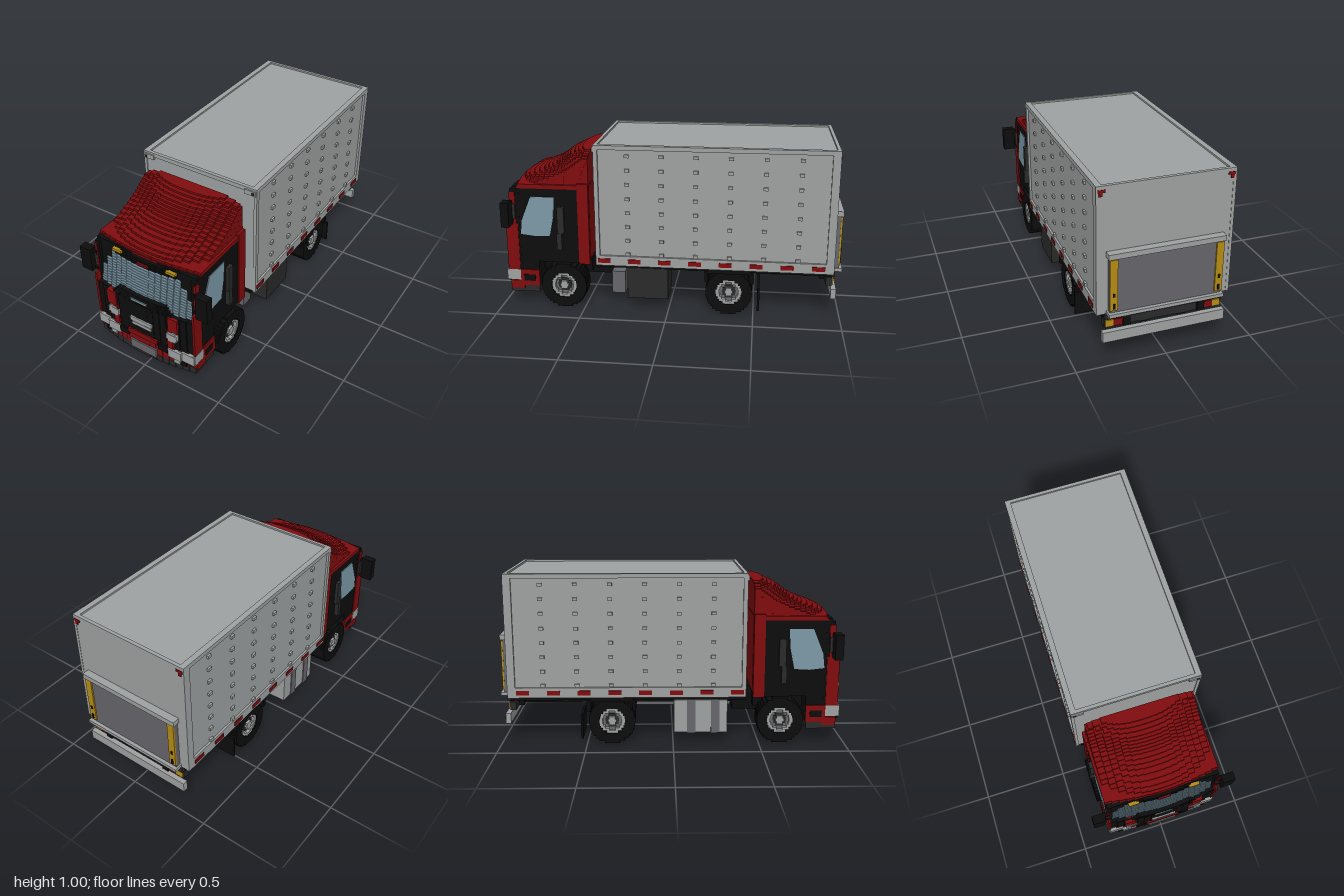
import * as THREE from 'three';
import { mergeGeometries } from 'three/addons/utils/BufferGeometryUtils.js';

export function createModel() {
  const root = new THREE.Group();
  root.name = 'boxTruck';
  const mat = (name, color) => {
    const m = new THREE.MeshStandardMaterial({ color });
    m.name = name;
    return m;
  };
  const grey = mat('lightGrey', 0x9fa2a2), red = mat('red', 0x800c0e), black = mat('black', 0x0d0d0d);
  const dark = mat('darkGrey', 0x2a2a2b), mid = mat('midGrey', 0x66666b);
  const yellow = mat('yellow', 0xb58c14), glass = mat('glassBlue', 0x7c99a7);

  // A part is a list of boxes [x0, x1, y0, y1, z0, z1]
  const block = ([x0, x1, y0, y1, z0, z1]) =>
    new THREE.BoxGeometry(Math.abs(x1 - x0), Math.abs(y1 - y0), Math.abs(z1 - z0))
      .translate((x0 + x1) / 2, (y0 + y1) / 2, (z0 + z1) / 2);
  const part = (name, material, boxes) => {
    const mesh = new THREE.Mesh(mergeGeometries(boxes.map(block)), material);
    mesh.name = name;
    root.add(mesh);
    return mesh;
  };
  const both = boxes => boxes.flatMap(b => [b, [-b[0], -b[1], ...b.slice(2)]]);

  // Stepped layers whose front bows back towards the sides
  const stepped = (name, material, y0, y1, n, half, front, back) => {
    const boxes = [], h = (y1 - y0) / n;
    for (let i = 0; i < n; i++) {
      const ya = y0 + i * h, w = half(ya + h / 2);
      for (let j = 1; j <= 8; j++) {
        const x = w * j / 8, z = front(ya + h / 2, x);
        if (z > back + 0.005) boxes.push([-x, x, ya, ya + h, back, z]);
      }
    }
    return part(name, material, boxes);
  };

  // Piecewise linear profile lookup
  const lookup = (pts, y) => {
    for (let i = 1; i < pts.length; i++) {
      const [a, za] = pts[i - 1], [b, zb] = pts[i];
      if (y <= b) return za + (zb - za) * Math.max(0, (y - a) / (b - a));
    }
    return pts[pts.length - 1][1];
  };

  // Cargo box: core with raised frames on the sides, roof and rear
  part('cargoBox', grey, [[-0.36, 0.36, 0.285, 0.99, -0.94, 0.415]]);
  part('cargoFrame', grey, both([
    [0.34, 0.373, 0.975, 1, -0.95, 0.42], [0.355, 0.373, 0.285, 0.345, -0.95, 0.42],
    [0.355, 0.373, 0.285, 1, 0.395, 0.42], [0.355, 0.373, 0.285, 1, -0.95, -0.905],
  ]).concat([[-0.37, 0.37, 0.975, 1, 0.40, 0.42], [-0.37, 0.37, 0.975, 1, -0.95, -0.93],
    [-0.37, 0.37, 0.285, 0.975, -0.948, -0.93]]));
  const cleats = [], markers = [];
  for (const z of [0.23, 0.035, -0.16, -0.355, -0.55, -0.745])
    for (const y of [0.94, 0.857, 0.774, 0.69, 0.607, 0.524, 0.44, 0.357])
      cleats.push([0.355, 0.372, y - 0.009, y + 0.009, z - 0.013, z + 0.013]);
  for (let i = 0; i < 8; i++) {
    const z = 0.37 - i * 0.176;
    markers.push([0.37, 0.377, 0.302, 0.328, z - 0.037, z + 0.037]);
  }
  part('sideCleats', grey, both(cleats));
  part('sideMarkers', red, both(markers));
  part('frontCornerLamps', grey, both([[0.30, 0.37, 0.96, 0.988, 0.41, 0.428]]));
  part('frontCornerLampLenses', dark, both([[0.345, 0.36, 0.966, 0.98, 0.425, 0.431]]));
  part('rearCornerLamps', red, both([[0.325, 0.365, 0.965, 0.98, -0.953, -0.945], [0.34, 0.358, 0.945, 0.965, -0.953, -0.945]]));

  // Tail lift and rear bumper
  part('tailLiftPlate', mid, [[-0.31, 0.31, 0.30, 0.62, -0.978, -0.945]]);
  part('tailLiftFrame', grey, [[-0.32, 0.32, 0.615, 0.645, -0.99, -0.945], [-0.32, 0.32, 0.285, 0.305, -0.998, -0.945]]);
  part('tailLiftStripes', yellow, both([[0.27, 0.312, 0.32, 0.61, -0.986, -0.976]]));
  part('tailLiftHinges', black, both([[0.285, 0.297, 0.33, 0.36, -0.99, -0.98], [0.285, 0.297, 0.40, 0.42, -0.99, -0.98],
    [0.19, 0.23, 0.20, 0.285, -0.96, -0.88]]));
  part('rearBumper', grey, [[-0.345, 0.345, 0.125, 0.185, -0.97, -0.94]]);
  part('rearLampBar', dark, [[-0.33, 0.33, 0.20, 0.25, -0.945, -0.91]]);
  part('rearLampsRed', red, both([[0.21, 0.28, 0.205, 0.245, -0.952, -0.94]]));
  part('rearLampsYellow', yellow, both([[0.28, 0.325, 0.205, 0.245, -0.952, -0.94]]));

  // Chassis
  const beams = [];
  for (let z = 0.34; z > -0.95; z -= 0.16) beams.push([-0.33, 0.33, 0.255, 0.287, z - 0.02, z + 0.02]);
  part('crossBeams', dark, beams);
  part('chassisRails', black, both([[0.08, 0.135, 0.19, 0.285, -0.94, 0.60], [0.30, 0.34, 0.262, 0.287, -0.94, 0.42]])
    .concat([[-0.1, 0.1, 0.2, 0.27, -0.93, -0.87], [-0.1, 0.1, 0.2, 0.27, -0.64, -0.58], [-0.1, 0.1, 0.2, 0.27, -0.02, 0.04]]));
  part('engine', black, [[-0.13, 0.13, 0.14, 0.29, 0.36, 0.78]]);
  part('axles', dark, [[-0.25, 0.25, 0.105, 0.155, -0.38, -0.33], [-0.25, 0.25, 0.105, 0.155, 0.60, 0.65]]);
  part('differential', mid, [[-0.06, 0.06, 0.08, 0.18, -0.42, -0.29]]);
  part('driveShaft', mid, [[-0.022, 0.022, 0.135, 0.175, -0.30, 0.38]]);
  part('fuelTank', grey, [[-0.35, -0.16, 0.068, 0.262, 0.005, 0.315]]);
  part('tankStraps', mid, [0.245, 0.105].map(z => [-0.355, -0.155, 0.064, 0.266, z - 0.025, z + 0.025]));
  part('batteryBox', dark, [[0.17, 0.345, 0.075, 0.265, 0.0, 0.24]]);
  part('airTank', mid, [[0.16, 0.25, 0.062, 0.2, 0.27, 0.35]]);
  part('rearMudguards', black, both([[0.165, 0.358, 0.255, 0.282, -0.48, -0.23], [0.165, 0.358, 0.20, 0.265, -0.50, -0.475],
    [0.165, 0.358, 0.20, 0.265, -0.235, -0.215], [0.16, 0.36, 0.035, 0.175, -0.535, -0.522]]));

  // Wheels: stepped discs, optionally with a hole
  const disc = (name, material, r, hole, x0, x1, z) => {
    const n = Math.round(r / 0.0075), h = 2 * r / n, boxes = [];
    for (let i = 0; i < n; i++) {
      const ya = -r + i * h, yc = ya + h / 2, w = Math.sqrt(r * r - yc * yc);
      const g = Math.abs(yc) < hole ? Math.sqrt(hole * hole - yc * yc) : 0;
      const y0 = 0.135 + ya, y1 = y0 + h;
      if (g) boxes.push([x0, x1, y0, y1, z + g, z + w], [x0, x1, y0, y1, z - w, z - g]);
      else boxes.push([x0, x1, y0, y1, z - w, z + w]);
    }
    part(name, material, boxes);
  };
  for (const [label, z, inner] of [['front', 0.624, 0.21], ['rear', -0.355, 0.165]])
    for (const s of [1, -1]) {
      disc(label + 'Tyre', black, 0.135, 0.075, s * (inner + 0.02), s * 0.345, z);
      disc(label + 'TyreInner', black, 0.128, 0, s * inner, s * (inner + 0.02), z);
      disc(label + 'WheelDish', mid, 0.076, 0, s * (inner + 0.02), s * 0.318, z);
      disc(label + 'Rim', grey, 0.076, 0.056, s * 0.31, s * 0.338, z);
      disc(label + 'HubRing', dark, 0.04, 0, s * 0.31, s * 0.325, z);
      disc(label + 'Hub', grey, 0.024, 0, s * 0.31, s * 0.34, z);
    }

  // Cab shell
  part('cabBody', black, [[-0.325, 0.325, 0.275, 0.735, 0.47, 0.915], [-0.325, 0.325, 0.12, 0.28, 0.775, 0.93],
    [-0.20, 0.20, 0.18, 0.29, 0.48, 0.8]]);
  part('cabRearPillars', red, both([[0.30, 0.332, 0.27, 0.76, 0.465, 0.53]]));
  part('cabBackWall', red, [[-0.32, 0.32, 0.30, 0.75, 0.462, 0.475]]);
  const roofLine = [[0.72, 0.925], [0.75, 0.91], [0.77, 0.87], [0.80, 0.785], [0.84, 0.70], [0.897, 0.62], [0.94, 0.53]];
  const bow = (x, d, p) => d * Math.pow(x / 0.32, p);
  stepped('roofBase', red, 0.725, 0.75, 2, () => 0.33, (y, x) => lookup(roofLine, y) - bow(x, 0.03, 2), 0.465);
  stepped('roofFairing', red, 0.75, 0.94, 16, y => lookup([[0.75, 0.315], [0.905, 0.313], [0.92, 0.28], [0.94, 0.20]], y),
    (y, x) => Math.max(0.50, lookup(roofLine, y) - bow(x, 0.12, 3)), 0.465);

  // Windscreen and its surround
  const screen = (y, x) => 0.975 - (y - 0.45) * 0.17 - bow(x, 0.045, 2);
  stepped('windscreen', glass, 0.45, 0.677, 14, () => 0.302, screen, 0.88);
  stepped('windscreenHeader', black, 0.677, 0.722, 3, () => 0.318, (y, x) => screen(y, x) + 0.004, 0.88);
  part('roofMarkers', yellow, both([[0.145, 0.205, 0.704, 0.72, 0.90, 0.936]]));
  part('headerBadge', red, [[-0.036, 0.036, 0.688, 0.702, 0.9, 0.945]]);
  part('frontPillars', black, both([[0.30, 0.326, 0.22, 0.72, 0.88, 0.93]]));
  part('pillarTrim', red, both([[0.318, 0.331, 0.22, 0.51, 0.89, 0.962], [0.316, 0.331, 0.51, 0.70, 0.90, 0.934]]));

  // Front face
  const face = x => 0.99 - bow(x, 0.035, 2);
  stepped('frontPanel', black, 0.22, 0.45, 6, () => 0.318, (y, x) => face(x), 0.88);
  stepped('wiperCowl', black, 0.45, 0.505, 4, y => lookup([[0.45, 0.20], [0.48, 0.17], [0.505, 0.15]], y), (y, x) => face(x) - 0.002, 0.9);
  part('cowlSlot', glass, [[-0.06, 0.045, 0.465, 0.48, 0.98, 0.993]]);
  stepped('lowerFront', red, 0.12, 0.225, 4, () => 0.328, (y, x) => face(x), 0.89);
  stepped('bumper', dark, 0.078, 0.12, 3, () => 0.325, (y, x) => face(x), 0.78);
  const plate = (x0, x1, y0, y1, t = 0.006) => [x0, x1, y0, y1, face(x1) - 0.02, Math.min(1, face(x0) + t)];
  part('frontRedTrim', red, both([plate(0.175, 0.236, 0.355, 0.45), plate(0.165, 0.20, 0.225, 0.355), plate(0, 0.10, 0.21, 0.24),
    plate(0, 0.06, 0.22, 0.245)]));
  part('grilleBars', grey, [[-0.072, 0.072, 0.318, 0.345, 0.98, 0.998], [-0.065, 0.065, 0.29, 0.312, 0.98, 0.996]]);
  part('foglights', grey, both([plate(0.175, 0.222, 0.282, 0.35, 0.009), plate(0.163, 0.232, 0.297, 0.335, 0.009)]));
  part('numberPlate', mid, [[-0.088, 0.088, 0.105, 0.165, 0.97, 0.997]]);
  part('headlights', grey, both([plate(0.165, 0.25, 0.155, 0.215), plate(0.22, 0.329, 0.155, 0.218, 0),
    [0.31, 0.333, 0.155, 0.22, 0.89, 0.968], plate(0.20, 0.24, 0.125, 0.15)]));
  part('headlightSlots', black, both([plate(0.10, 0.165, 0.178, 0.22, 0.004), plate(0.235, 0.28, 0.125, 0.15)]));
  part('headlightTrim', red, both([plate(0.225, 0.25, 0.155, 0.175, 0.008)]));

  // Cab sides: lower skirts, windows, handles, steps and mirrors
  part('sideSkirts', red, both([[0.32, 0.332, 0.12, 0.22, 0.775, 0.89], [0.32, 0.332, 0.10, 0.15, 0.87, 0.95]]));
  part('entrySteps', black, both([[0.32, 0.335, 0.15, 0.19, 0.80, 0.87]]));
  const outline = [[0.806, 0.675], [0.667, 0.675], [0.675, 0.56], [0.70, 0.44], [0.79, 0.435], [0.875, 0.445], [0.865, 0.53]];
  const shape = new THREE.Shape(outline.map(([z, y]) => new THREE.Vector2(-z, y)));
  for (const x of [0.322, -0.33]) {
    const win = new THREE.Mesh(new THREE.ExtrudeGeometry(shape, { depth: 0.008, bevelEnabled: false }).rotateY(Math.PI / 2), glass);
    win.name = 'sideWindow';
    win.position.x = x;
    root.add(win);
  }
  part('airSnorkels', dark, both([[0.32, 0.352, 0.36, 0.46, 0.625, 0.655], [0.32, 0.345, 0.46, 0.62, 0.61, 0.65]]));
  part('mirrors', black, both([[0.345, 0.417, 0.51, 0.657, 0.915, 0.962], [0.32, 0.35, 0.63, 0.65, 0.915, 0.94], [0.32, 0.35, 0.52, 0.535, 0.915, 0.94]]));
  part('mirrorTrim', dark, both([[0.325, 0.34, 0.54, 0.63, 0.90, 0.935]]));
  return root;
}
